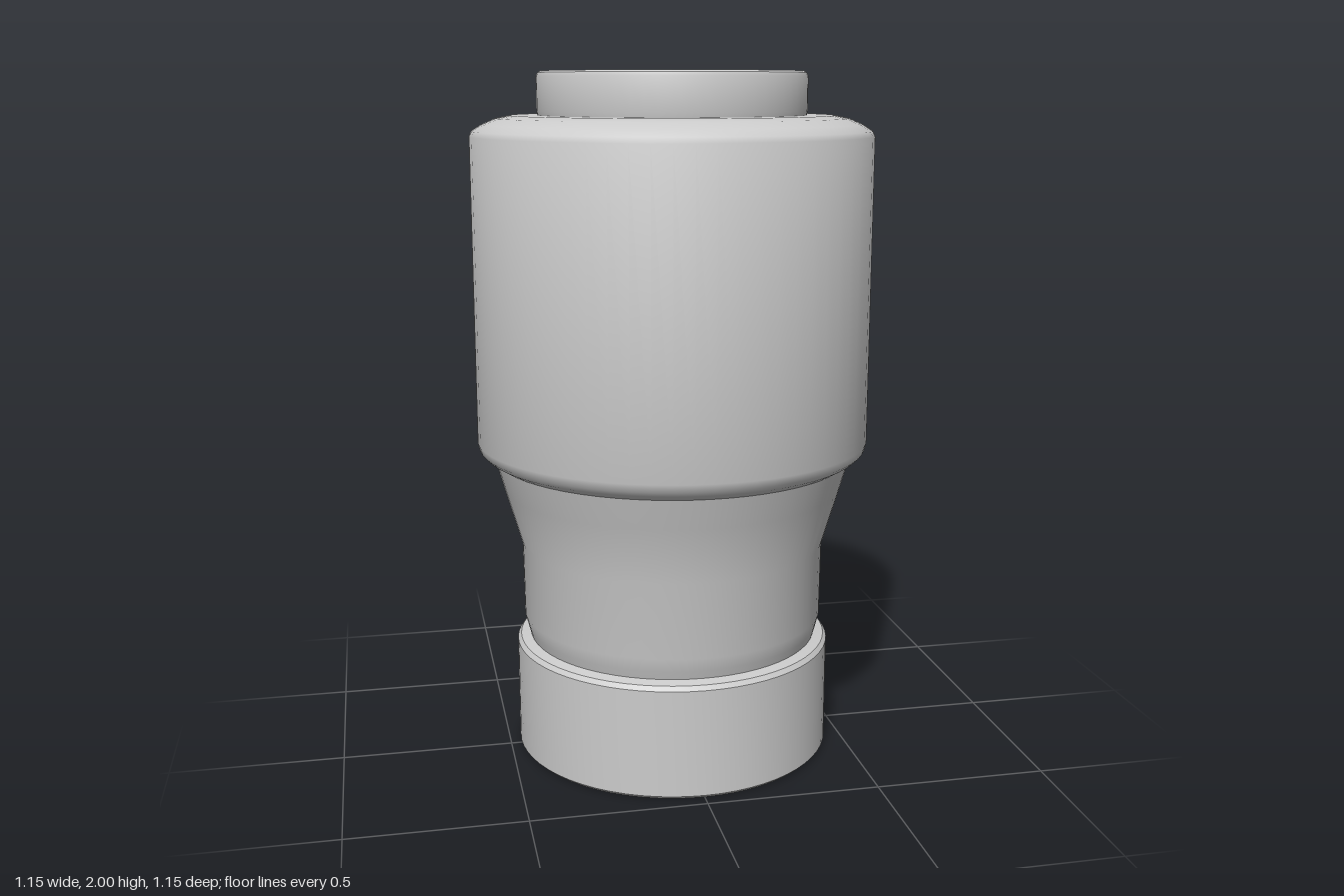
import * as THREE from 'three';
import { toCreasedNormals } from 'three/addons/utils/BufferGeometryUtils.js';

const material = new THREE.MeshStandardMaterial({ color: 0xcccccc });

// Revolves a bottom-to-top profile of [radius, height] pairs
function turned(name, profile) {
  const points = profile.map(([r, y]) => new THREE.Vector2(r, y));
  const geometry = toCreasedNormals(new THREE.LatheGeometry(points, 64), 0.6);
  const mesh = new THREE.Mesh(geometry, material);
  mesh.name = name;
  return mesh;
}

export function createModel() {
  const model = new THREE.Group();
  model.name = 'turnedFitting';

  // Closed foot collar with softened edges
  model.add(turned('baseCollar', [
    [0, 0], [0.46, 0], [0.47, 0.01], [0.47, 0.325], [0.46, 0.338], [0.43, 0.345],
  ]));

  // Straight neck, undercut at the foot and flaring up to the body
  model.add(turned('neck', [
    [0.43, 0.345], [0.437, 0.37], [0.447, 0.41], [0.45, 0.63], [0.5, 0.8], [0.525, 0.89],
  ]));

  // Wide main barrel with a bevelled underside and rounded shoulder
  model.add(turned('body', [
    [0.525, 0.89], [0.555, 0.908], [0.569, 0.922], [0.575, 0.945], [0.575, 1.82],
    [0.568, 1.835], [0.54, 1.853], [0.5, 1.87], [0.46, 1.878], [0.38, 1.878],
  ]));

  // Raised disc on top
  model.add(turned('topCap', [
    [0.38, 1.87], [0.384, 1.89], [0.384, 1.985], [0.38, 1.995], [0.372, 2], [0, 2],
  ]));

  return model;
}
